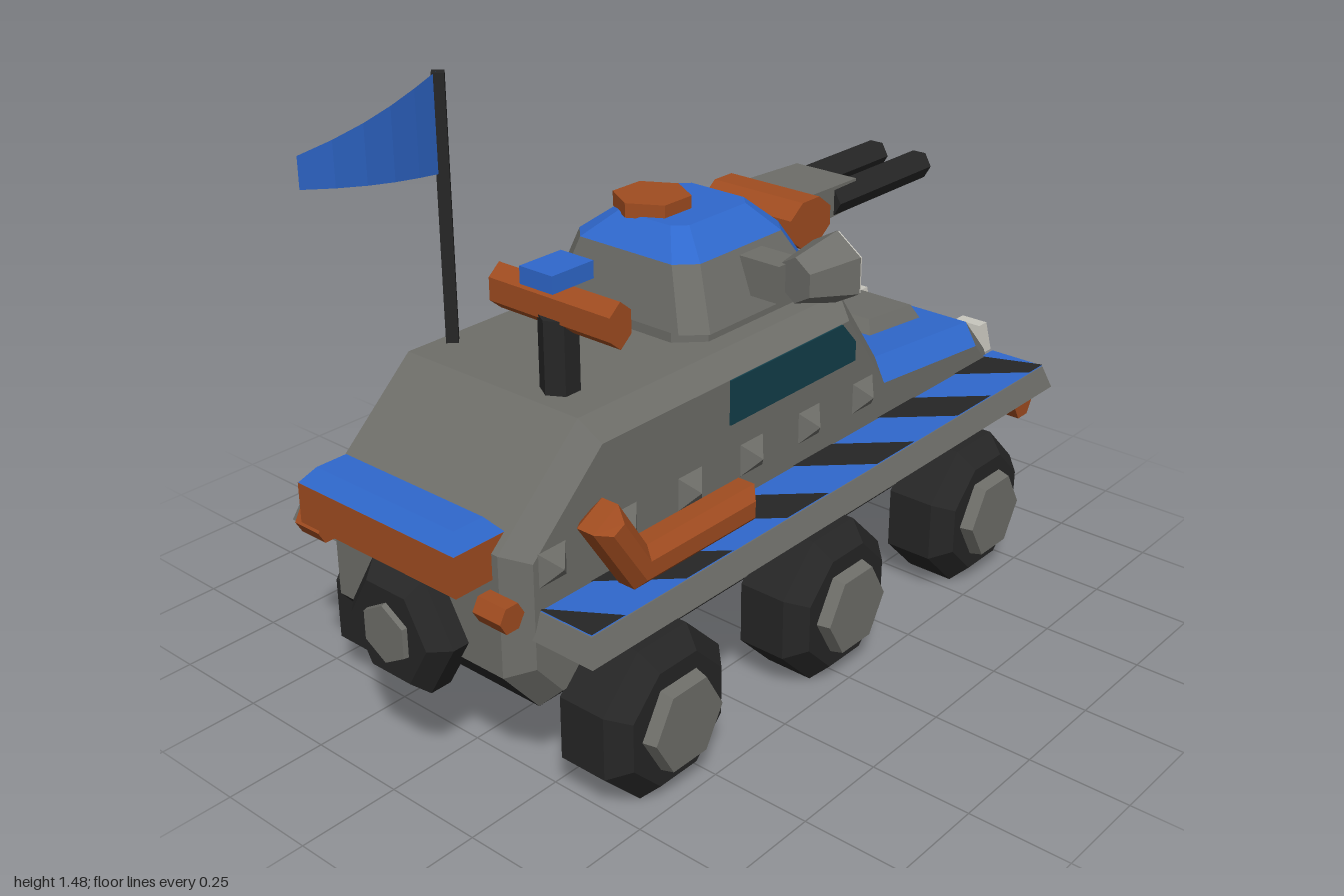
import * as THREE from 'three';

const mat = (name, color, side = THREE.FrontSide) => {
  const m = new THREE.MeshStandardMaterial({ color, side });
  m.name = name;
  return m;
};

// Faceted normals for any geometry
function facet(geo) {
  const g = geo.index ? geo.toNonIndexed() : geo;
  g.deleteAttribute('uv');
  g.clearGroups();
  g.computeVertexNormals();
  return g;
}

// Prism or cone frustum along an axis; turn spins it about that axis
function prism(r0, r1, len, sides, axis = 'y', turn = 0) {
  const g = new THREE.CylinderGeometry(r1, r0, len, sides).rotateY(turn);
  if (axis === 'x') g.rotateZ(-Math.PI / 2);
  if (axis === 'z') g.rotateX(Math.PI / 2);
  return g;
}

// Box whose top face is inset by ix, iz on each side
function taper(w, h, d, ix, iz) {
  const g = new THREE.BoxGeometry(w, h, d), p = g.attributes.position;
  for (let i = 0; i < p.count; i++) if (p.getY(i) > 0) {
    p.setX(i, p.getX(i) - Math.sign(p.getX(i)) * ix);
    p.setZ(i, p.getZ(i) - Math.sign(p.getZ(i)) * iz);
  }
  return g;
}

// Side profile of [z, y] points extruded across x with chamfered edges
function sideExtrude(points, width, bevel) {
  const shape = new THREE.Shape(points.map(([z, y]) => new THREE.Vector2(z, y)));
  return new THREE.ExtrudeGeometry(shape, {
    depth: width - 2 * bevel, bevelEnabled: bevel > 0, bevelSize: bevel,
    bevelThickness: bevel, bevelOffset: -bevel, bevelSegments: 1,
  }).translate(0, 0, bevel - width / 2).rotateY(-Math.PI / 2);
}

// Closed loft through chamfered rectangles [y, halfWidth, zNose, zTail, chamfer]
function loft(rings) {
  const pts = rings.map(([y, w, f, b, c]) => [
    [w - c, y, b], [w, y, b - c], [w, y, f + c], [w - c, y, f],
    [c - w, y, f], [-w, y, f + c], [-w, y, b - c], [c - w, y, b]]);
  const out = [], tri = (...v) => v.forEach((q) => out.push(...q));
  for (let k = 0; k + 1 < pts.length; k++) for (let i = 0; i < 8; i++) {
    const j = (i + 1) % 8, lo = pts[k], hi = pts[k + 1];
    tri(lo[i], lo[j], hi[i]);
    tri(lo[j], hi[j], hi[i]);
  }
  const top = pts[pts.length - 1];
  for (let i = 1; i < 7; i++) {
    tri(top[0], top[i], top[i + 1]);
    tri(pts[0][0], pts[0][i + 1], pts[0][i]);
  }
  return new THREE.BufferGeometry().setAttribute('position', new THREE.Float32BufferAttribute(out, 3));
}

// Sorts the triangles into material groups; pick(centre, normal) gives the index
function paint(geo, pick) {
  const g = facet(geo), p = g.attributes.position, bins = [];
  const [a, b, c, n] = [0, 1, 2, 3].map(() => new THREE.Vector3());
  for (let i = 0; i < p.count; i += 3) {
    [a, b, c].forEach((v, k) => v.fromBufferAttribute(p, i + k));
    n.fromBufferAttribute(g.attributes.normal, i);
    const m = pick(a.clone().add(b).add(c).divideScalar(3), n);
    (bins[m] ??= []).push(...a.toArray(), ...b.toArray(), ...c.toArray());
  }
  const res = new THREE.BufferGeometry().setAttribute('position', new THREE.Float32BufferAttribute(bins.flat(), 3));
  let start = 0;
  bins.forEach((bin, m) => { res.addGroup(start, bin.length / 3, m); start += bin.length / 3; });
  res.computeVertexNormals();
  return res;
}

export function createModel() {
  const root = new THREE.Group();
  root.name = 'armouredCar';
  const grey = mat('armourGrey', 0x6e6e69), blue = mat('paintBlue', 0x2f68cc, THREE.DoubleSide);
  const orange = mat('rustOrange', 0xa04c20), black = mat('rubberBlack', 0x262626);
  const glass = mat('darkTealGlass', 0x123e4a), lamp = mat('lampWhite', 0xc8c6be);

  const add = (name, geo, material, x = 0, y = 0, z = 0, parent = root) => {
    const m = new THREE.Mesh(Array.isArray(material) ? geo : facet(geo), material);
    m.name = name;
    m.position.set(x, y, z);
    parent.add(m);
    return m;
  };

  // Hull: blue bonnet, black belly
  const hull = sideExtrude([[0.8, 0.23], [0.9, 0.35], [0.9, 0.64], [0.66, 0.86], [-0.24, 0.86],
    [-0.4, 0.64], [-0.82, 0.6], [-0.92, 0.49], [-0.92, 0.36], [-0.82, 0.23]], 0.62, 0.05);
  add('hull', paint(hull, (c, n) => (n.y < -0.5 ? 2 : c.z < -0.4 && n.y > 0.6 ? 1 : 0)), [grey, blue, black]);
  add('windscreen', new THREE.BoxGeometry(0.48, 0.008, 0.26), glass, 0, 0.752, -0.322).rotation.x = -0.942;
  add('bonnetHatch', taper(0.32, 0.035, 0.23, 0.02, 0.02), grey, 0, 0.637, -0.635).rotation.x = -0.095;

  for (const s of [1, -1]) {
    // Side windows and rivets
    add('sideWindow', sideExtrude([[0.23, 0.7], [0.23, 0.81], [-0.185, 0.81], [-0.24, 0.75], [-0.24, 0.7]],
      0.008, 0), glass, s * 0.31);
    for (let i = 0; i < 6; i++) {
      const g = prism(0.057, 0, 0.035, 4, 'x', Math.PI / 4);
      add('rivet', s > 0 ? g : g.rotateY(Math.PI), grey, s * 0.327, 0.595, 0.795 - i * 0.215);
    }

    // Mudguards with slanted hazard stripes
    add('mudguard', taper(0.195, 0.06, 1.775, 0.02, 0.02), grey, s * 0.378, 0.47, -0.032);
    const plate = (name, pts, m, y) => add(name, new THREE.ShapeGeometry(new THREE.Shape(
      pts.map(([x, z]) => new THREE.Vector2(s * x, -z)))).rotateX(-Math.PI / 2), m, 0, y, 0);
    const lim = (z) => Math.min(0.835, Math.max(-0.9, z));
    plate('mudguardPaint', [[0.3, -0.9], [0.455, -0.9], [0.455, 0.835], [0.3, 0.835]], blue, 0.502);
    for (let i = 0; i < 6; i++) {
      const z = -0.99 + i * 0.345;
      plate('hazardStripe', [[0.455, lim(z)], [0.455, lim(z + 0.155)],
        [0.3, lim(z + 0.305)], [0.3, lim(z + 0.15)]], black, 0.505);
    }

    // Wheels: chamfered octagons with hexagonal hubs
    for (const z of [0.595, -0.012, -0.62]) {
      const wheel = new THREE.Group();
      wheel.name = 'wheel';
      wheel.position.set(s * 0.39, 0.187, z);
      if (s < 0) wheel.rotation.y = Math.PI;
      root.add(wheel);
      const tyre = new THREE.LatheGeometry([[0, -0.085], [0.2025, -0.085], [0.2025, 0.04], [0.155, 0.085], [0, 0.085]]
        .map(([x, y]) => new THREE.Vector2(x, y)), 8).rotateY(Math.PI / 8).rotateZ(-Math.PI / 2);
      add('tyre', tyre, black, 0, 0, 0, wheel);
      add('hub', prism(0.12, 0.108, 0.05, 6, 'x'), grey, 0.093, 0, 0, wheel);
    }

    add('headlight', taper(0.1, 0.08, 0.06, 0.012, 0.012), lamp, s * 0.2, 0.507, -0.945);
    add('tailLight', prism(0.034, 0.034, 0.08, 6, 'x'), orange, s * 0.283, 0.532, 0.925);
  }

  // Nose bumper, tail box and spare wheel
  add('bumper', prism(0.043, 0.043, 0.75, 6, 'x'), orange, 0, 0.345, -0.957);
  add('tailBox', new THREE.BoxGeometry(0.485, 0.095, 0.14), orange, 0, 0.627, 0.93);
  add('tailBoxLid', taper(0.485, 0.036, 0.14, 0.03, 0.03), blue, 0, 0.692, 0.93);
  add('spareTyre', prism(0.16, 0.16, 0.055, 6, 'z', Math.PI / 6), black, 0, 0.395, 0.915);
  add('spareTyreRim', prism(0.16, 0.12, 0.04, 6, 'z', Math.PI / 6), black, 0, 0.395, 0.9625);
  add('spareHub', prism(0.076, 0.07, 0.03, 6, 'z'), grey, 0, 0.395, 0.98);

  // Side stowage box and exhaust
  add('stowageBox', new THREE.BoxGeometry(0.13, 0.14, 0.265), orange, -0.385, 0.57, 0.252);
  add('stowageLid', taper(0.13, 0.04, 0.265, 0.03, 0.03), orange, -0.385, 0.66, 0.252);
  add('exhaust', sideExtrude([[0.255, 0.505], [0.255, 0.595], [0.61, 0.595], [0.695, 0.725],
    [0.77, 0.685], [0.65, 0.505]], 0.095, 0.025), orange, 0.38);

  // Turret: blue roof and nose plate
  add('turretRing', loft([[0.85, 0.21, -0.195, 0.245, 0.06], [0.9, 0.21, -0.195, 0.245, 0.06]]), grey);
  const turret = loft([[0.895, 0.24, -0.235, 0.265, 0.05], [1.04, 0.185, -0.15, 0.23, 0.045],
    [1.1, 0.11, -0.095, 0.165, 0.03]]);
  add('turret', paint(turret, (c, n) => (c.y > 1.045 || n.z < -0.4 ? 1 : 0)), [grey, blue]);
  add('turretHatch', prism(0.093, 0.093, 0.035, 6), orange, -0.042, 1.113, 0.09);

  // Twin gun
  add('mantlet', prism(0.085, 0.085, 0.275, 8, 'x', Math.PI / 8).scale(1, 0.75, 1), orange, 0, 0.998, -0.282);
  add('gunBlock', taper(0.2, 0.2, 0.085, 0.006, 0.006).rotateX(-Math.PI / 2), grey, -0.01, 0.998, -0.44);
  for (const x of [-0.069, 0.069]) {
    add('barrel', prism(0.038, 0.038, 0.4, 6, 'z', Math.PI / 6), black, x, 0.995, -0.645);
  }

  // Searchlight
  add('searchlightBracket', new THREE.BoxGeometry(0.12, 0.09, 0.08), grey, 0.245, 0.98, 0.015);
  const light = new THREE.Group();
  light.name = 'searchlight';
  light.position.set(0.345, 0.995, -0.028);
  light.rotation.y = -0.15;
  root.add(light);
  add('searchlightBody', prism(0.088, 0.055, 0.13, 6, 'z'), grey, 0, 0, 0, light);
  add('searchlightLens', prism(0.085, 0.085, 0.008, 6, 'z'), lamp, 0, 0, -0.067, light);

  // Roof periscope
  add('periscopePost', prism(0.045, 0.045, 0.18, 6), black, 0.132, 0.94, 0.58);
  add('periscopeTube', prism(0.053, 0.053, 0.35, 6, 'x', Math.PI / 6).scale(1, 1, 0.7)
    .rotateX(0), orange, 0.13, 1.05, 0.575);
  add('periscopeCap', new THREE.BoxGeometry(0.094, 0.04, 0.122), blue, 0.132, 1.125, 0.58);

  // Mast and waving flag
  add('mast', prism(0.02, 0.02, 0.63, 4), black, -0.23, 1.165, 0.555);
  const flag = new THREE.PlaneGeometry(1, 1, 5, 1), p = flag.attributes.position;
  for (let i = 0; i < p.count; i++) {
    const t = p.getX(i) + 0.5, half = 0.113 - 0.078 * t;
    p.setXYZ(i, -0.23 + 0.055 * Math.sin(t * 2.2), 1.368 + Math.sign(p.getY(i)) * half, 0.56 + 0.41 * t);
  }
  add('flag', flag, blue);
  return root;
}
